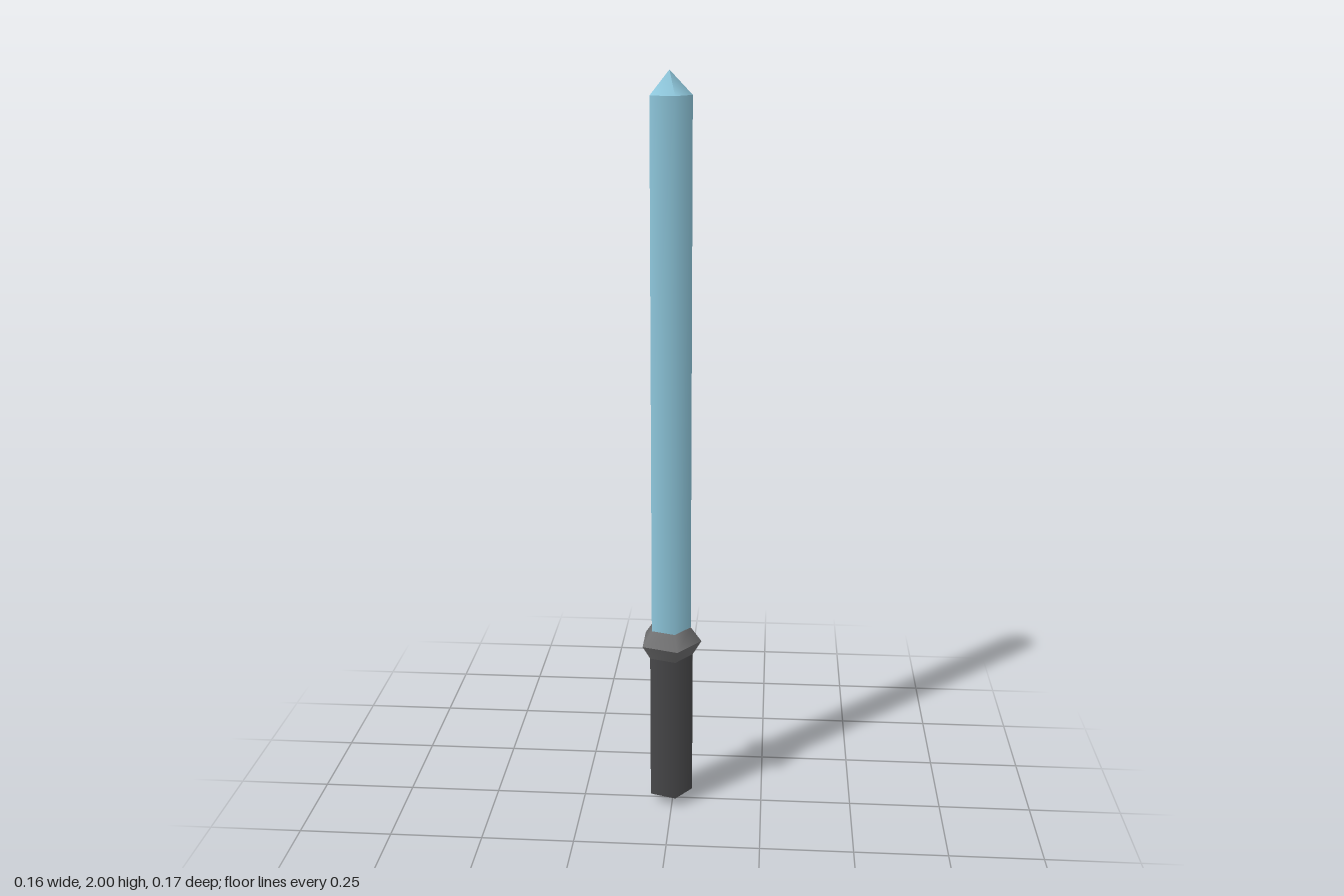
import * as THREE from 'three';

const SIDES = 5;

export function createModel() {
  const material = (name, color) => {
    const m = new THREE.MeshStandardMaterial({ color });
    m.name = name;
    return m;
  };
  const bladeBlue = material('bladeBlue', 0x8fc8dd);
  const gripDark = material('gripDark', 0x48484a);
  const guardGrey = material('guardGrey', 0x707071);

  const model = new THREE.Group();
  model.name = 'sword';

  // Five-sided section between two heights, with a corner pointing to +x
  const section = (name, mat, y0, r0, y1, r1) => {
    const geometry = new THREE.CylinderGeometry(r1, r0, y1 - y0, SIDES, 1, true, Math.PI / 2);
    const mesh = new THREE.Mesh(geometry, mat);
    mesh.name = name;
    mesh.position.set(-0.008, (y0 + y1) / 2, 0);
    model.add(mesh);
  };

  // Grip with a shallow pointed end
  section('pommel', guardGrey, 0, 0, 0.03, 0.063);
  section('grip', gripDark, 0.03, 0.063, 0.445, 0.063);

  // Collar flaring out and back in
  section('lowerGuard', guardGrey, 0.445, 0.063, 0.485, 0.087);
  section('upperGuard', guardGrey, 0.485, 0.087, 0.525, 0.0575);

  // Blade and its point
  section('blade', bladeBlue, 0.525, 0.0575, 1.94, 0.0575);
  section('bladeTip', bladeBlue, 1.94, 0.0575, 2, 0);

  return model;
}
